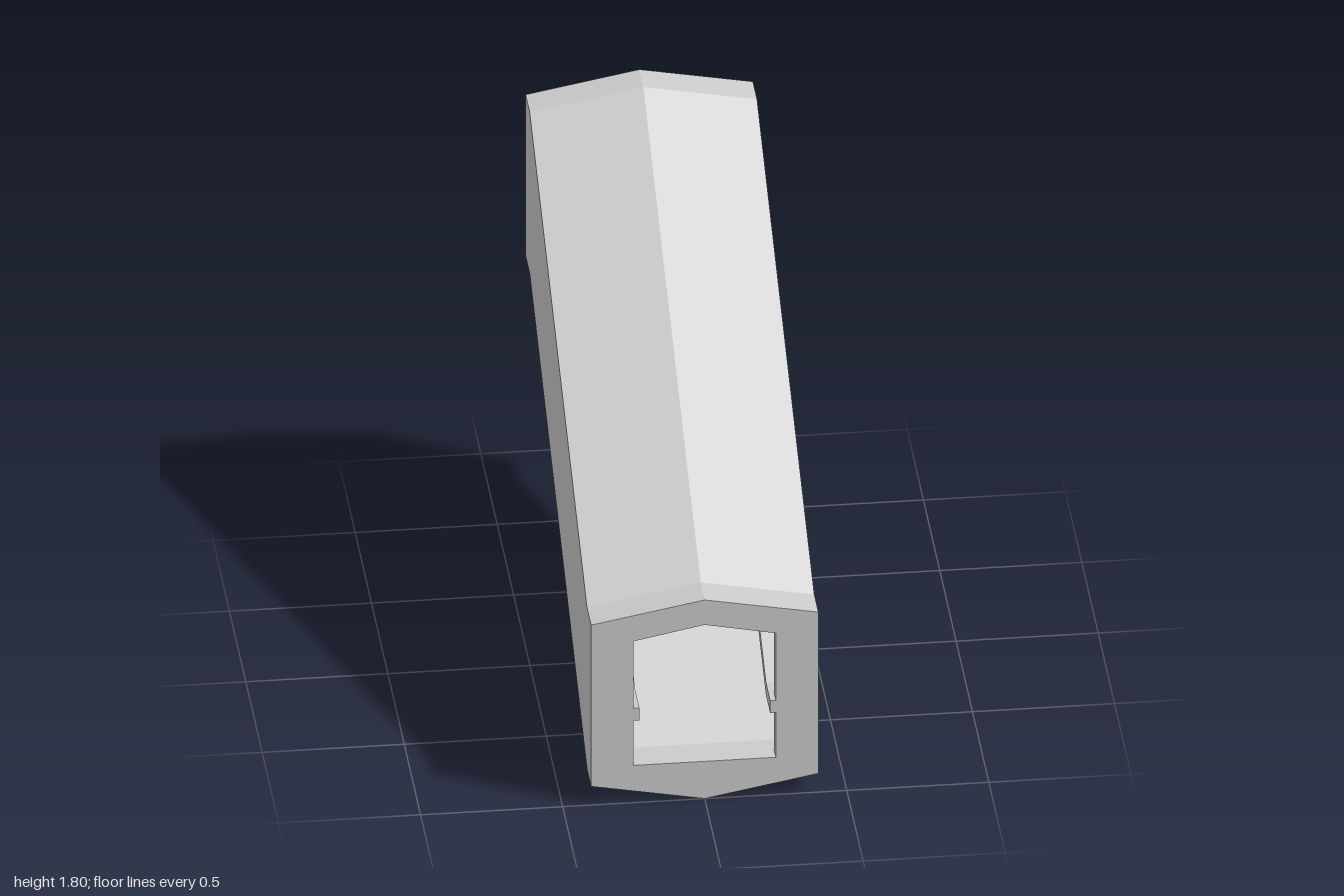
import * as THREE from 'three';

const material = new THREE.MeshStandardMaterial({ color: 0xcccccc, flatShading: true, side: THREE.DoubleSide });

// Cross-sections at the low end, right halves from bottom to top
const outerHalf = [[0, 0], [0.4, 0.075], [0.4, 0.725], [0, 0.8]];
const openingHalf = [[0.25, 0.15], [0.25, 0.33], [0.23, 0.33], [0.23, 0.38], [0.25, 0.38], [0.25, 0.65], [0, 0.7]];
const cavityHalf = [[0.3, 0.15], [0.3, 0.33], [0.23, 0.33], [0.23, 0.38], [0.3, 0.38], [0.3, 0.64], [0, 0.7]];

const LIP = 0.05; // depth of the end frames
const stations = [[1 - LIP, 0], [0.875, 0], [-0.875, 1], [-1 + LIP, 1]]; // z, rise

// Closed counter-clockwise outline from its right half
function mirrored(half) {
  const left = half.filter(p => p[0] > 0).reverse().map(([x, y]) => [-x, y]);
  return [...half, ...left];
}

// Walls of an outline carried along the stations, facing outward or inward
function sweep(outline, inward) {
  const loop = inward ? [...outline].reverse() : outline;
  const positions = [];
  for (let s = 0; s < stations.length - 1; s++) {
    const [z0, r0] = stations[s], [z1, r1] = stations[s + 1];
    loop.forEach(([x, y], i) => {
      const [u, v] = loop[(i + 1) % loop.length];
      const a = [x, y + r0, z0], b = [x, y + r1, z1], c = [u, v + r1, z1], d = [u, v + r0, z0];
      positions.push(...a, ...b, ...c, ...a, ...c, ...d);
    });
  }
  const geometry = new THREE.BufferGeometry();
  geometry.setAttribute('position', new THREE.Float32BufferAttribute(positions, 3));
  geometry.computeVertexNormals();
  return geometry;
}

// Flat frame with the doorway cut through it
function frameGeometry() {
  const toPoints = half => mirrored(half).map(p => new THREE.Vector2(...p));
  const shape = new THREE.Shape(toPoints(outerHalf));
  shape.holes.push(new THREE.Path(toPoints(openingHalf)));
  return new THREE.ExtrudeGeometry(shape, { depth: LIP, bevelEnabled: false });
}

export function createModel() {
  const group = new THREE.Group();
  const add = (name, geometry, y = 0, z = 0) => {
    const mesh = new THREE.Mesh(geometry, material);
    mesh.name = name;
    mesh.position.set(0, y, z);
    group.add(mesh);
  };

  // Sloping passage: outside shell and inside walls with side rails
  add('outerShell', sweep(mirrored(outerHalf), false));
  add('innerWallsWithRails', sweep(mirrored(cavityHalf), true));

  // End frames
  add('lowerEndFrame', frameGeometry(), 0, 1 - LIP);
  add('upperEndFrame', frameGeometry(), 1, -1);
  return group;
}
